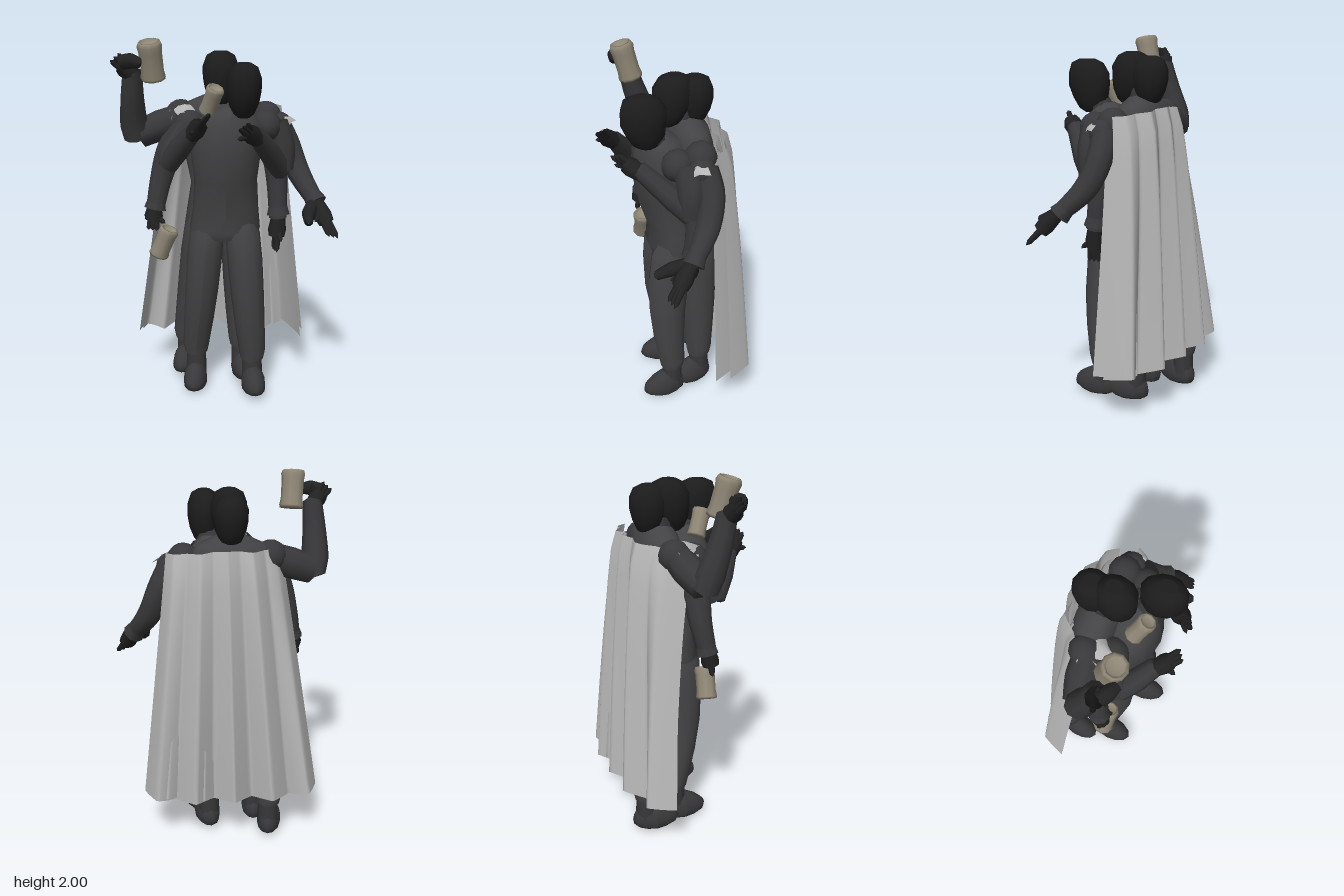
import * as THREE from 'three';

const mat = (name, color, side = THREE.FrontSide) => {
  const m = new THREE.MeshStandardMaterial({ color, side });
  m.name = name;
  return m;
};
const V = (p) => new THREE.Vector3(...p);

export function createModel() {
  const root = new THREE.Group();
  root.name = 'cloakedGroup';
  const suit = mat('charcoal suit', 0x434345);
  const sleeve = mat('dark sleeve', 0x38383a);
  const hair = mat('black hair', 0x1c1c1d);
  const glove = mat('black glove', 0x222223);
  const cloth = mat('grey cape', 0xb6b6b6, THREE.DoubleSide);
  const clay = mat('tankard clay', 0x8f8776);

  const add = (name, geo, material, parent = root) => {
    const m = new THREE.Mesh(geo, material);
    m.name = name;
    parent.add(m);
    return m;
  };

  // Upright body part from sections, top to bottom: [x, y, z, halfWidth, halfDepth]
  const loft = (name, rows, material, sides = 14) => {
    const n = rows.length - 1;
    const g = new THREE.CylinderGeometry(1, 1, 1, sides, n);
    const p = g.attributes.position;
    for (let i = 0; i < p.count; i++) {
      const [x, y, z, rx, rz] = rows[Math.round((0.5 - p.getY(i)) * n)];
      p.setXYZ(i, x + p.getX(i) * rx, y, z + p.getZ(i) * rz);
    }
    g.computeVertexNormals();
    return add(name, g, material);
  };

  // Tapered limb along points [x, y, z, radius], closed at both ends
  const limb = (name, pts, material, parent = root, seg = 16, sides = 9) => {
    const curve = new THREE.CatmullRomCurve3(pts.map((p) => V(p)), false, 'centripetal');
    const g = new THREE.TubeGeometry(curve, seg, 1, sides);
    const p = g.attributes.position, v = new THREE.Vector3();
    for (let i = 0; i < p.count; i++) {
      const ring = Math.floor(i / (sides + 1)), u = ring / seg;
      const t = curve.getUtoTmapping(u) * (pts.length - 1);
      const k = Math.min(Math.floor(t), pts.length - 2);
      const r = ring === 0 || ring === seg ? 0.001
        : THREE.MathUtils.lerp(pts[k][3], pts[k + 1][3], t - k);
      const c = curve.getPointAt(u);
      v.fromBufferAttribute(p, i).sub(c).multiplyScalar(r).add(c);
      p.setXYZ(i, v.x, v.y, v.z);
    }
    return add(name, g, material, parent);
  };

  const ball = (name, [x, y, z, r]) => {
    const m = add(name, new THREE.SphereGeometry(r, 12, 9), sleeve);
    m.position.set(x, y, z);
  };

  // Palm with fanned fingers and a thumb
  const hand = (name, wrist, tip, across) => {
    const g = new THREE.Group();
    g.name = name;
    root.add(g);
    const b = V(tip), s = V(across).normalize();
    const a = V(wrist).lerp(b, -0.2);
    const mid = a.clone().lerp(b, 0.65);
    limb('palm', [[...a, 0.038], [...a.clone().lerp(mid, 0.6), 0.05], [...mid, 0.042]], glove, g, 10, 8);
    for (let i = -1; i <= 1; i++) {
      const from = mid.clone().addScaledVector(s, i * 0.024).lerp(a, 0.25);
      const to = b.clone().addScaledVector(s, i * 0.026);
      limb('finger', [[...from, 0.02], [...to, 0.013]], glove, g, 5, 6);
    }
    const thumb = mid.clone().addScaledVector(s, 0.075);
    limb('thumb', [[...a.clone().lerp(mid, 0.5), 0.02], [...thumb, 0.012]], glove, g, 5, 6);
  };

  const cuff = (at, toward, r) => {
    const a = V(at), d = V(toward).sub(a).normalize();
    const m = add('cuff', new THREE.CylinderGeometry(r * 0.9, r * 1.1, 0.05, 9), sleeve);
    m.position.copy(a);
    m.quaternion.setFromUnitVectors(new THREE.Vector3(0, 1, 0), d);
  };

  // Torsos of the front and rear figures
  loft('frontTorso', [
    [0.05, 1.66, 0.12, 0.05, 0.06], [0.02, 1.62, 0.09, 0.12, 0.1], [0, 1.56, 0.08, 0.19, 0.14],
    [-0.01, 1.42, 0.07, 0.19, 0.16], [-0.01, 1.25, 0.05, 0.17, 0.15], [-0.01, 1.08, 0.02, 0.18, 0.125],
    [-0.015, 0.97, 0.02, 0.195, 0.13], [-0.015, 0.92, 0.02, 0.18, 0.11],
  ], suit, 16);
  loft('rearTorso', [
    [-0.04, 1.7, -0.07, 0.06, 0.06], [-0.04, 1.65, -0.08, 0.18, 0.1], [-0.04, 1.57, -0.08, 0.24, 0.12],
    [-0.04, 1.4, -0.09, 0.2, 0.12], [-0.04, 1.2, -0.1, 0.16, 0.1], [-0.05, 0.95, -0.12, 0.19, 0.11],
    [-0.05, 0.85, -0.12, 0.16, 0.09],
  ], suit, 16);

  // Four trouser legs and shoes: [hip x, foot x, hip z, foot z, turn]
  [[-0.11, -0.18, 0.02, -0.03, -0.1], [0.08, 0.14, 0.04, 0.07, 0.1],
    [-0.14, -0.24, -0.1, -0.23, -0.2], [0.06, 0.085, -0.1, -0.12, 0.2]].forEach(([hx, fx, hz, fz, turn], i) => {
    const mix = (t) => [hx + (fx - hx) * t, hz + (fz - hz) * t];
    const rows = [[1.06, 0, 0.05, 0.06], [0.95, 0.05, 0.095, 0.115], [0.8, 0.25, 0.098, 0.115],
      [0.6, 0.5, 0.093, 0.105], [0.42, 0.75, 0.085, 0.09], [0.25, 1, 0.075, 0.075], [0.2, 1, 0.065, 0.065]];
    loft('trouserLeg', rows.map(([y, t, rx, rz]) => {
      const [x, z] = mix(t);
      return [x, y, z + (i < 2 ? 0.03 * Math.sin(t * Math.PI) : 0), rx, rz];
    }), suit, 12);
    limb('ankle', [[fx, 0.26, fz, 0.055], [fx, 0.15, fz, 0.058], [fx, 0.04, fz, 0.06]], sleeve);
    const g = new THREE.SphereGeometry(1, 12, 10);
    const p = g.attributes.position;
    for (let k = 0; k < p.count; k++) {
      const z = p.getZ(k), y = p.getY(k);
      p.setY(k, Math.max(y, -0.45) * (z > 0 ? 1 - 0.35 * z : 1));
    }
    g.computeVertexNormals();
    const shoe = add('shoe', g, sleeve);
    shoe.scale.set(0.068, 0.1, 0.13);
    shoe.position.set(fx + turn * 0.06, i === 0 ? 0.045 : 0.065, fz + 0.05);
    shoe.rotation.y = turn;
  });

  // Heads: rounded crowns narrowing to the chin
  const head = (name, x, y, z, w, d, h, lean) => loft(name, [
    [x, y + h, z - lean, w * 0.4, d * 0.4], [x, y + h * 0.85, z - lean, w * 0.78, d * 0.78],
    [x, y + h * 0.45, z, w, d], [x, y, z, w, d], [x, y - h * 0.45, z + lean, w * 0.88, d * 0.85],
    [x, y - h * 0.85, z + lean * 1.5, w * 0.62, d * 0.6], [x, y - h, z + lean * 2, w * 0.35, d * 0.35],
  ], hair, 12);
  head('frontHead', 0.08, 1.745, 0.195, 0.09, 0.12, 0.14, -0.01);
  head('middleHead', -0.035, 1.79, 0.0, 0.095, 0.105, 0.135, 0.01);
  head('rearHead', -0.035, 1.78, -0.12, 0.09, 0.1, 0.125, 0);
  limb('frontNeck', [[0.04, 1.55, 0.08, 0.07], [0.06, 1.63, 0.13, 0.065], [0.08, 1.72, 0.18, 0.06]], sleeve);
  limb('rearNeck', [[-0.04, 1.58, -0.06, 0.07], [-0.04, 1.75, -0.05, 0.065]], sleeve);

  // Shoulders
  [[-0.2, 1.54, 0.05, 0.085], [0.2, 1.54, 0.06, 0.085], [-0.25, 1.58, -0.07, 0.085],
    [0.21, 1.57, -0.06, 0.085], [0.28, 1.53, -0.04, 0.07]].forEach((s) => ball('shoulder', s));

  // Raised right arm
  limb('raisedUpperArm', [[-0.22, 1.58, -0.05, 0.075], [-0.36, 1.53, -0.04, 0.085], [-0.49, 1.48, -0.01, 0.075]], sleeve);
  limb('raisedForearm', [[-0.49, 1.44, -0.02, 0.06], [-0.5, 1.55, 0.01, 0.075], [-0.5, 1.7, 0.06, 0.062], [-0.49, 1.86, 0.1, 0.05]], sleeve);
  hand('raisedHand', [-0.5, 1.82, 0.1], [-0.58, 1.91, 0.13], [0.7, 0.6, 0]);
  limb('raisedGrip', [[-0.54, 1.88, 0.13, 0.04], [-0.49, 1.89, 0.16, 0.04], [-0.44, 1.88, 0.18, 0.025]], glove);

  // Hanging right arm
  limb('hangingRightArm', [[-0.22, 1.55, -0.02, 0.075], [-0.31, 1.4, 0.02, 0.075], [-0.36, 1.25, 0.03, 0.06], [-0.4, 1.06, 0.06, 0.048]], sleeve);
  cuff([-0.39, 1.11, 0.05], [-0.36, 1.25, 0.03], 0.055);
  hand('hangingRightHand', [-0.4, 1.08, 0.06], [-0.41, 0.97, 0.08], [0.8, 0, 0.4]);

  // Right arm bent toward the face
  limb('bentRightArm', [[-0.2, 1.55, 0.06, 0.075], [-0.3, 1.4, 0.1, 0.07], [-0.31, 1.34, 0.13, 0.06]], sleeve);
  limb('bentRightForearm', [[-0.32, 1.34, 0.12, 0.055], [-0.25, 1.45, 0.2, 0.06], [-0.17, 1.56, 0.28, 0.045]], sleeve);
  hand('bentRightHand', [-0.18, 1.54, 0.28], [-0.11, 1.64, 0.37], [-0.5, -0.4, 0.4]);

  // Left arm bent with the hand at the chin
  limb('chinUpperArm', [[0.24, 1.56, 0.02, 0.08], [0.29, 1.42, 0.02, 0.075], [0.29, 1.28, 0.02, 0.065]], sleeve);
  limb('chinForearm', [[0.3, 1.27, 0, 0.055], [0.24, 1.38, 0.1, 0.062], [0.13, 1.54, 0.26, 0.045]], sleeve);
  hand('chinHand', [0.14, 1.51, 0.25], [0.07, 1.59, 0.35], [-0.5, -0.3, 0.3]);

  // Hanging left arm
  limb('hangingLeftArm', [[0.24, 1.45, -0.03, 0.07], [0.27, 1.25, -0.02, 0.06], [0.28, 0.99, 0.01, 0.048]], sleeve);
  cuff([0.28, 1.06, 0], [0.27, 1.25, -0.02], 0.058);
  hand('hangingLeftHand', [0.28, 1.0, 0.01], [0.265, 0.83, 0.03], [0.3, 0, 1]);

  // Outstretched left arm
  limb('reachingArm', [[0.26, 1.56, -0.05, 0.07], [0.33, 1.42, -0.07, 0.07], [0.39, 1.27, -0.03, 0.065], [0.49, 1.11, 0.1, 0.045]], sleeve);
  cuff([0.47, 1.14, 0.07], [0.39, 1.27, -0.03], 0.055);
  hand('reachingHand', [0.49, 1.11, 0.11], [0.56, 0.97, 0.23], [-0.7, 0.2, 0.2]);
  limb('reachingThumb', [[0.47, 1.13, 0.08, 0.035], [0.43, 1.09, 0.18, 0.038], [0.42, 1.06, 0.27, 0.022]], glove);

  // Tankards: slightly waisted cups with a rim and shallow mouth
  const tankard = (at, rot, s) => {
    const profile = [[0, -0.1], [0.062, -0.1], [0.066, -0.085], [0.06, -0.05], [0.061, 0.05],
      [0.066, 0.08], [0.058, 0.1], [0.046, 0.1], [0.044, 0.08], [0, 0.08]];
    const m = add('tankard', new THREE.LatheGeometry(profile.map((p) => new THREE.Vector2(...p)), 9), clay);
    m.position.set(...at);
    m.rotation.set(...rot);
    m.scale.setScalar(s);
  };
  tankard([-0.39, 1.89, 0.13], [0.25, 0, 0.08], 1);
  tankard([-0.35, 0.9, 0.07], [0.1, 0, -0.4], 0.85);
  tankard([-0.085, 1.69, 0.145], [0.4, 0, -0.3], 0.75);

  // Pleated cape hanging behind, folds deepening toward the hem
  const cape = (name, inset, phase, top) => {
    const g = new THREE.PlaneGeometry(1, 1, 80, 14);
    const p = g.attributes.position;
    for (let i = 0; i < p.count; i++) {
      const u = p.getX(i) + 0.5, t = 0.5 - p.getY(i), w = Math.abs(2 * u - 1);
      const wave = 2 * Math.asin(Math.cos((2 * Math.PI * (u - 0.5)) / 0.217 + phase)) / Math.PI;
      const x = THREE.MathUtils.lerp(-0.31 + 0.61 * u, -0.52 + 0.97 * u, t);
      const z = THREE.MathUtils.lerp(-0.235 + (u < 0.5 ? 0.25 : 0.11) * w ** 3, -0.32 + 0.14 * w ** 6, Math.sqrt(t));
      const y = THREE.MathUtils.lerp(top - 0.03 * w, 0.27 + 0.012 * wave, t);
      p.setXYZ(i, x * (1 - inset), y, z - wave * (0.015 + 0.04 * t) + inset);
    }
    g.computeVertexNormals();
    add(name, g, cloth);
  };
  cape('cape', 0, 0, 1.65);
  cape('capeLining', 0.04, 1.2, 1.62);

  // Cape corners folded forward over the shoulders: [x, y, z, size]
  [[-0.23, 1.645, 0, 1], [0.31, 1.58, 0, 0.6]].forEach(([cx, cy, cz, size]) => {
    const g = new THREE.PlaneGeometry(0.2, 0.16, 4, 4);
    const p = g.attributes.position;
    for (let i = 0; i < p.count; i++) {
      const x = p.getX(i), d = p.getY(i);
      p.setXYZ(i, cx + x * (0.6 + d * 6) * size, cy - x * x * 3 - Math.max(0, -d) * 0.4, cz - d * size);
    }
    g.computeVertexNormals();
    add('shoulderFlap', g, cloth);
  });

  return root;
}
